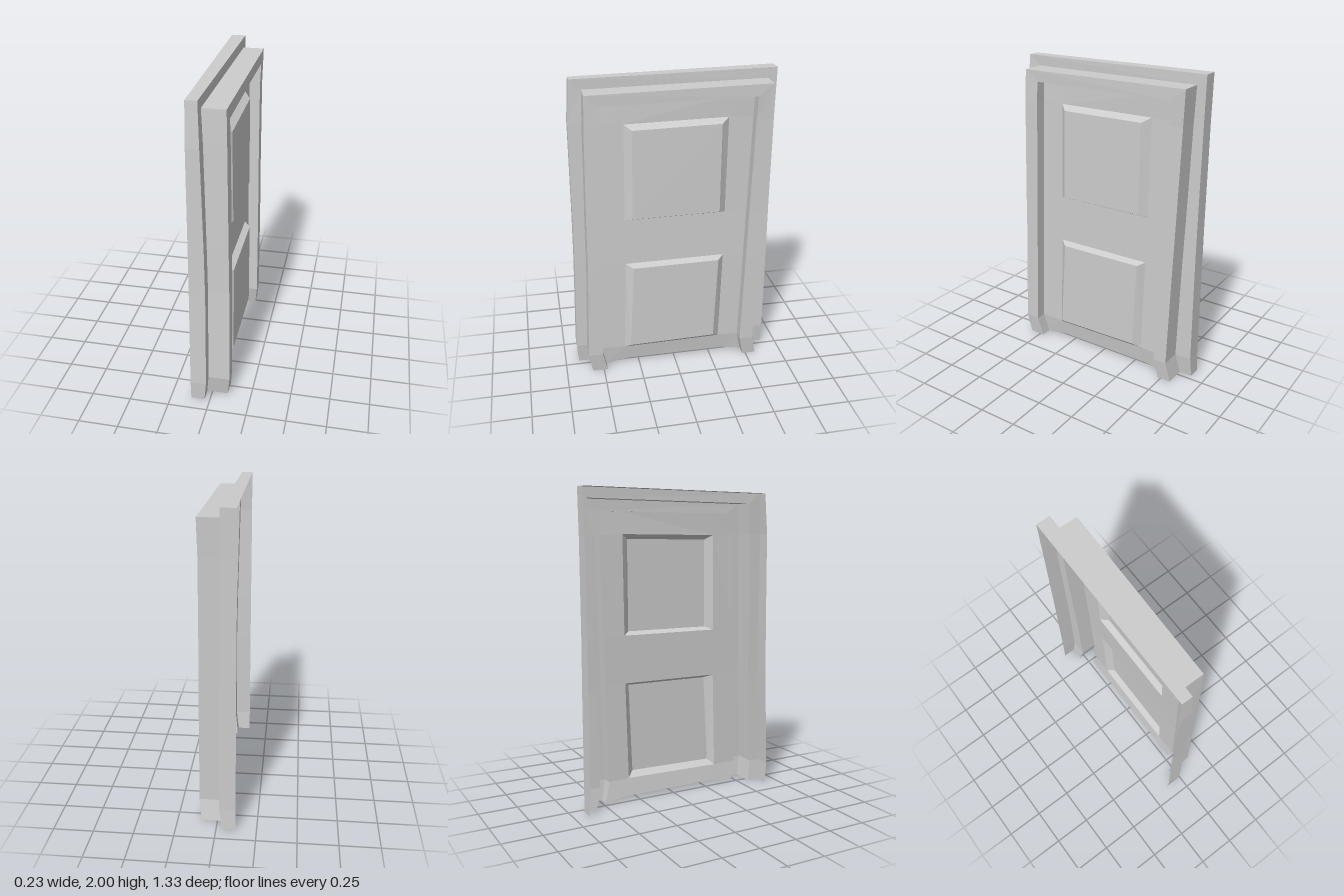
import * as THREE from 'three';

const material = new THREE.MeshStandardMaterial({ color: 0xcccccc, flatShading: true, side: THREE.DoubleSide });

// Mesh from a list of quads, each four [x, y, z] corners
function quadMesh(name, quads) {
  const pos = [];
  for (const [a, b, c, d] of quads) pos.push(...a, ...b, ...c, ...a, ...c, ...d);
  const geo = new THREE.BufferGeometry();
  geo.setAttribute('position', new THREE.Float32BufferAttribute(pos, 3));
  geo.computeVertexNormals();
  const mesh = new THREE.Mesh(geo, material);
  mesh.name = name;
  return mesh;
}

// Quads between neighbouring rows of points
function gridQuads(rows, skip = () => false) {
  const quads = [];
  for (let r = 0; r < rows.length - 1; r++)
    for (let c = 0; c < rows[r].length - 1; c++)
      if (!skip(r, c)) quads.push([rows[r][c], rows[r][c + 1], rows[r + 1][c + 1], rows[r + 1][c]]);
  return quads;
}

const BACK = -0.12, RECESS = 0.07, RAISE = 0.04;

// Stepped frame profile, from the outer back edge to the recessed door edge
function profile([outer, mid, inner, step, lip], [yo, ym, yi]) {
  return [
    [BACK, yo, outer], [step, yo, outer], [step, ym, mid],
    [lip, ym, mid], [lip, yi, inner], [lip - RECESS, yi, inner],
  ];
}

// Jamb stations from foot to top corner: outer z, mid z, inner z, step x, lip x
const leftJamb = [
  [0.66, 0.575, 0.475, -0.035, 0.10],
  [0.67, 0.60, 0.505, -0.02, 0.115],
  [0.65, 0.575, 0.485, -0.02, 0.11],
  [0.645, 0.57, 0.475, -0.025, 0.105],
  [0.64, 0.555, 0.46, -0.04, 0.095],
  [0.62, 0.545, 0.455, -0.05, 0.09],
];
const rightJamb = [
  [-0.655, -0.57, -0.48, -0.035, 0.10],
  [-0.65, -0.54, -0.45, -0.02, 0.115],
  [-0.65, -0.56, -0.47, -0.02, 0.11],
  [-0.65, -0.57, -0.48, -0.025, 0.105],
  [-0.655, -0.59, -0.50, -0.03, 0.10],
  [-0.66, -0.60, -0.505, -0.03, 0.105],
];
const heights = [0, 0.135, 0.77, 1.085, 1.715];
const level = (i, top) => (i < heights.length ? [heights[i], heights[i], heights[i]] : top);

export function createModel() {
  const group = new THREE.Group();
  group.name = 'panelledDoor';

  // Crooked frame swept up one jamb, over the top and down the other
  const left = leftJamb.map((s, i) => profile(s, level(i, [1.98, 1.915, 1.845])));
  const right = rightJamb.map((s, i) => profile(s, level(i, [2.0, 1.935, 1.86])));
  group.add(quadMesh('doorFrame', gridQuads([...left, ...right.slice().reverse()])));

  // Door leaf: a grid with two openings; its inner columns are [z left, y left, z right, y right]
  const columns = [
    [0.315, 0.025, -0.34, 0.025],
    [0.345, 0.13, -0.31, 0.14],
    [0.325, 0.77, -0.33, 0.775],
    [0.32, 1.08, -0.335, 1.085],
    [0.31, 1.71, -0.345, 1.72],
    [0.305, 1.85, -0.345, 1.857],
  ];
  const rows = columns.map(([zl, yl, zr, yr], i) => {
    const a = left[i][5], b = right[i][5];
    const x = (z) => THREE.MathUtils.mapLinear(z, a[2], b[2], a[0], b[0]);
    return [a, [x(zl), yl, zl], [x(zr), yr, zr], b];
  });
  group.add(quadMesh('doorLeaf', gridQuads(rows, (r, c) => c === 1 && (r === 1 || r === 3))));

  // Raised panels with bevelled borders, hollow behind; face corners as [z, y]
  const panels = [
    ['lowerPanel', 1, [[0.31, 0.165], [-0.265, 0.175], [-0.29, 0.755], [0.275, 0.75]]],
    ['upperPanel', 3, [[0.275, 1.10], [-0.29, 1.105], [-0.295, 1.69], [0.265, 1.68]]],
  ];
  for (const [name, r, corners] of panels) {
    const rim = [rows[r][1], rows[r][2], rows[r + 1][2], rows[r + 1][1]];
    const face = corners.map(([z, y], k) => [rim[k][0] + RAISE, y, z]);
    const bevels = rim.map((p, k) => [p, rim[(k + 1) % 4], face[(k + 1) % 4], face[k]]);
    group.add(quadMesh(name, [...bevels, face]));
  }
  return group;
}
